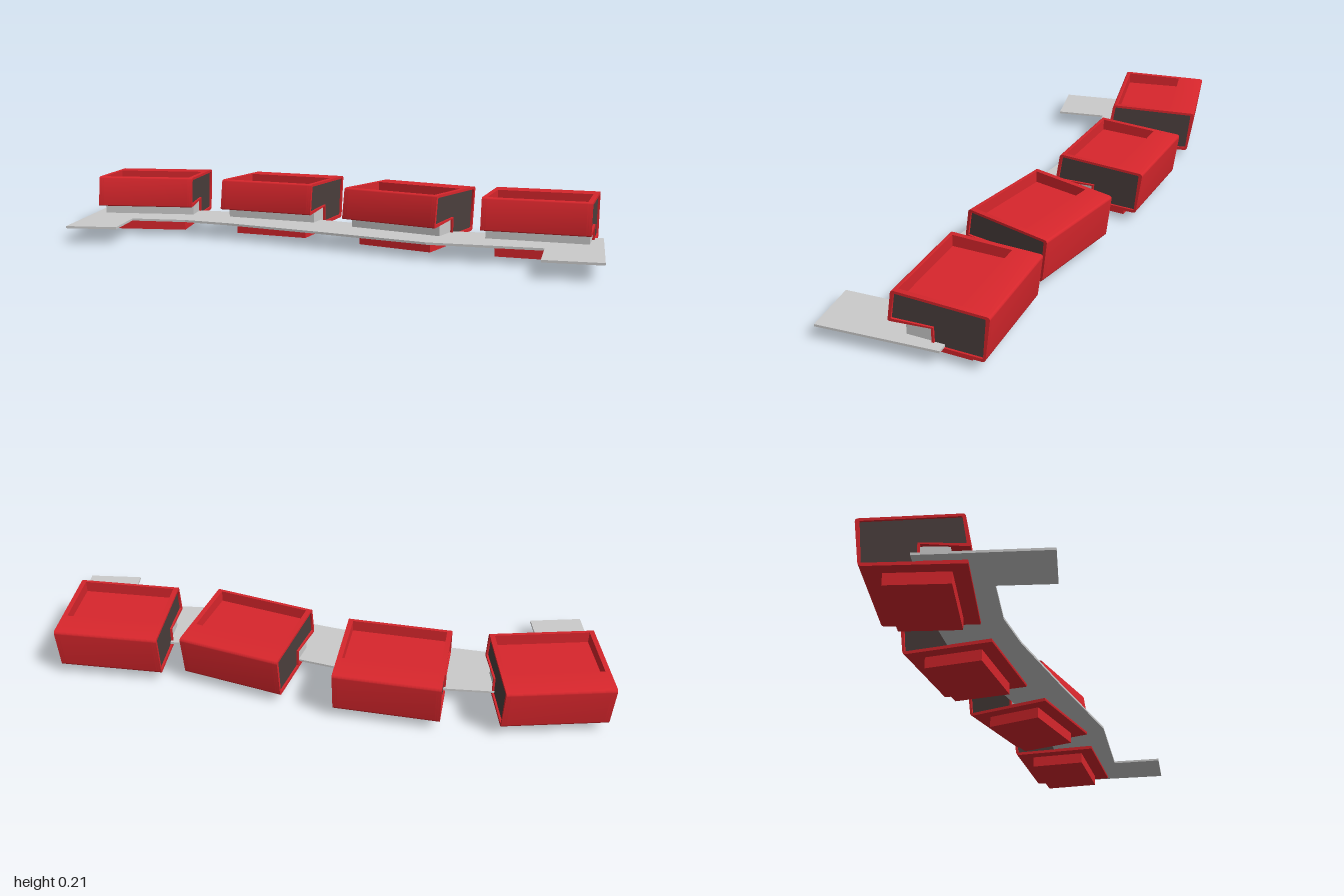
import * as THREE from 'three';
import { toCreasedNormals } from 'three/addons/utils/BufferGeometryUtils.js';

const red = new THREE.MeshStandardMaterial({ color: 0xd8262c });
const dark = new THREE.MeshStandardMaterial({ color: 0x4b3f3d });
const grey = new THREE.MeshStandardMaterial({ color: 0xcccccc });

const WIDTH = 0.362;

// Side outlines as [z, y, corner radius]; the nose tip sits at z = 0
const outline = [
  [0, 0.095, 0.008], [-0.018, 0.206, 0.01], [-0.337, 0.199, 0.012], [-0.317, 0.04, 0.012],
  [-0.006, 0.04, 0.004], [-0.006, 0.053, 0.004], [-0.145, 0.053, 0], [-0.145, 0.108, 0],
];
const windowOutline = [
  [-0.012, 0.106, 0.003], [-0.027, 0.197, 0.005], [-0.323, 0.19, 0.005],
  [-0.31, 0.051, 0.005], [-0.152, 0.051, 0], [-0.152, 0.113, 0],
];
// Same outline with the sunken roof terrace cut into its top
const terraceOutline = [
  outline[0], outline[1], [-0.034, 0.2056, 0], [-0.034, 0.165, 0],
  [-0.24, 0.165, 0], [-0.24, 0.2011, 0], ...outline.slice(2),
];

// Closed path through the corners, each one rounded by its radius
function trace(path, corners) {
  const n = corners.length;
  corners.forEach(([x, y, r], i) => {
    const toward = ([px, py]) => {
      const d = Math.hypot(px - x, py - y);
      return [x + ((px - x) * r) / d, y + ((py - y) * r) / d];
    };
    const a = toward(corners[(i + n - 1) % n]);
    const b = toward(corners[(i + 1) % n]);
    if (i === 0) path.moveTo(...a);
    else path.lineTo(...a);
    if (r > 0) path.quadraticCurveTo(x, y, ...b);
  });
  path.closePath();
  return path;
}

// Extrude a side outline across x, centred on x = centre
function across(corners, thickness, centre, hole) {
  const shape = trace(new THREE.Shape(), corners);
  if (hole) shape.holes.push(trace(new THREE.Path(), hole));
  const geo = new THREE.ExtrudeGeometry(shape, { depth: thickness, bevelEnabled: false, curveSegments: 5 });
  geo.translate(0, 0, -thickness / 2).rotateY(-Math.PI / 2).translate(centre, 0, 0);
  return toCreasedNormals(geo, 0.6);
}

function add(group, name, geo, material) {
  const mesh = new THREE.Mesh(geo, material);
  mesh.name = name;
  group.add(mesh);
}

function box(w, y0, y1, z0, z1) {
  return new THREE.BoxGeometry(w, y1 - y0, z1 - z0).translate(0, (y0 + y1) / 2, (z0 + z1) / 2);
}

function makeHouse() {
  const house = new THREE.Group();
  add(house, 'shell', across(terraceOutline, WIDTH - 0.034, 0), red);
  for (const s of [-1, 1]) {
    const edge = (s * WIDTH) / 2;
    add(house, 'sideWall', across(outline, 0.007, edge - s * 0.0135), red);
    add(house, 'sideFrame', across(outline, 0.01, edge - s * 0.005, windowOutline), red);
    add(house, 'sideWindow', across(windowOutline, 0.003, edge - s * 0.0085), dark);
  }
  add(house, 'lowerGlazing', box(WIDTH - 0.016, 0.053, 0.103, -0.15, -0.058), grey);
  add(house, 'foundation', box(0.28, 0, 0.042, -0.255, -0.055), red);
  return house;
}

// Winding walkway running through the open slots of the houses, as [x, z]
function makeWalkway() {
  const points = [
    [-0.985, -0.06], [-0.89, 0.335], [-0.71, 0.288], [-0.755, 0.11], [-0.555, 0.066], [-0.38, 0.066],
    [0, 0.1], [0.4, 0.143], [0.785, 0.095], [0.807, 0.276], [0.998, 0.25], [0.94, -0.15],
    [0.88, -0.145], [0.43, -0.085], [0.08, -0.108], [-0.44, -0.167], [-0.6, -0.15],
  ];
  const shape = new THREE.Shape(points.map(([x, z]) => new THREE.Vector2(x, -z)));
  return new THREE.ExtrudeGeometry(shape, { depth: 0.008, bevelEnabled: false })
    .rotateX(-Math.PI / 2).translate(0, 0.052, 0);
}

export function createModel() {
  const model = new THREE.Group();
  model.name = 'terraceHouses';
  add(model, 'walkway', makeWalkway(), grey);

  // Nose position x, z and turn of each house
  const places = [
    [-0.738, 0.046, 0.255], [-0.262, -0.006, 0], [0.232, 0.05, -0.168], [0.743, 0.048, 0.06],
  ];
  places.forEach(([x, z, turn], i) => {
    const house = makeHouse();
    house.name = `house${i + 1}`;
    house.position.set(x, 0, z);
    house.rotation.y = turn;
    model.add(house);
  });
  return model;
}
